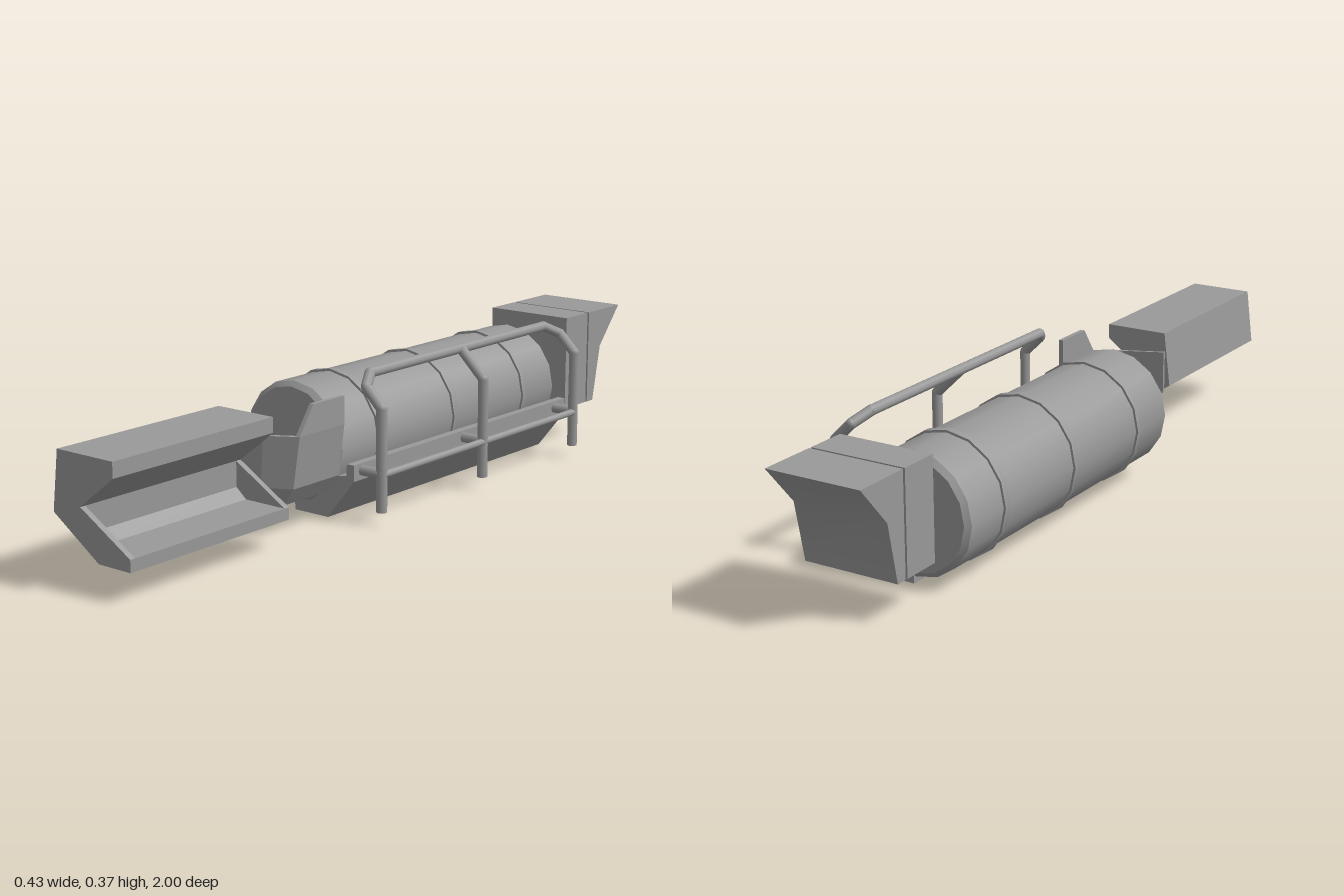
import * as THREE from 'three';
import { toCreasedNormals } from 'three/addons/utils/BufferGeometryUtils.js';
import { ConvexGeometry } from 'three/addons/geometries/ConvexGeometry.js';

const grey = new THREE.MeshStandardMaterial({ color: 0x999999 });
const flat = new THREE.MeshStandardMaterial({ color: 0x999999, flatShading: true });
const V = (p) => new THREE.Vector3(...p);

function add(parent, name, geometry, material = grey) {
  const mesh = new THREE.Mesh(geometry, material);
  mesh.name = name;
  parent.add(mesh);
  return mesh;
}

// Prism with an (x, y) profile running from z0 to z1
function prism(points, z0, z1) {
  const shape = new THREE.Shape(points.map((p) => new THREE.Vector2(...p)));
  return new THREE.ExtrudeGeometry(shape, { depth: z1 - z0, bevelEnabled: false }).translate(0, 0, z0);
}

// Sixteen-sided turned part lying along z
function turned(profile) {
  const lathe = new THREE.LatheGeometry(profile.map((p) => new THREE.Vector2(...p)), 16);
  return toCreasedNormals(lathe.rotateX(Math.PI / 2).translate(-0.055, 0.173, 0), 0.6);
}

// Jointed pipe through a list of points
function pipe(parent, name, points, r) {
  const group = new THREE.Group();
  group.name = name;
  const up = new THREE.Vector3(0, 1, 0);
  for (let i = 1; i < points.length; i++) {
    const a = V(points[i - 1]), b = V(points[i]);
    const dir = b.clone().sub(a);
    const seg = add(group, name + 'Segment', new THREE.CylinderGeometry(r, r, dir.length(), 8));
    seg.position.copy(a).add(b).multiplyScalar(0.5);
    seg.quaternion.setFromUnitVectors(up, dir.normalize());
    if (i < points.length - 1) {
      add(group, name + 'Joint', new THREE.SphereGeometry(r, 8, 8)).position.copy(b);
    }
  }
  parent.add(group);
}

export function createModel() {
  const model = new THREE.Group();
  model.name = 'tankAssembly';

  // Tank with chamfered ends and three raised bands
  add(model, 'tank', turned([
    [0, -0.682], [0.142, -0.682], [0.155, -0.67], [0.155, 0.235], [0.142, 0.247], [0, 0.247],
  ]));
  for (const z of [-0.53, -0.22, 0.09]) {
    add(model, 'tankBand', turned([
      [0.15, z - 0.009], [0.161, z - 0.009], [0.161, z + 0.009], [0.15, z + 0.009],
    ]));
  }

  // Keel under the tank with a lipped walkway
  add(model, 'walkwayBase', prism([
    [-0.05, 0], [0.057, 0], [0.14, 0.104], [0.14, 0.145], [0.118, 0.145],
    [0.116, 0.115], [0.06, 0.105], [-0.05, 0.04],
  ], -0.672, 0.24));

  // Guard rail: bent frame, middle post, lower rail and brackets
  const front = 0.208, back = -0.622, middle = -0.205;
  const half = (z, s) => [
    [0.201, 0.032, z], [0.201, 0.29, z], [0.153, 0.337, z], [0.128, 0.361, z - s * 0.045],
  ];
  pipe(model, 'railFrame', [...half(front, 1), ...half(back, -1).reverse()], 0.0135);
  pipe(model, 'middlePost', [
    [0.201, 0.032, middle], [0.201, 0.29, middle], [0.128, 0.361, middle],
  ], 0.0135);
  pipe(model, 'lowerRail', [[0.204, 0.126, front], [0.204, 0.126, back]], 0.0095);
  for (const z of [front, middle, back]) {
    pipe(model, 'railBracket', [[0.13, 0.127, z], [0.204, 0.127, z]], 0.0135);
  }

  // Rear box and the flared chute behind it
  add(model, 'rearBox', new THREE.BoxGeometry(0.253, 0.258, 0.105)).position.set(-0.027, 0.226, -0.788);
  const chute = prism([
    [-0.847, 0.097], [-0.847, 0.355], [-1, 0.355], [-0.908, 0.25], [-0.876, 0.097],
  ], 0, 0.253).rotateY(-Math.PI / 2).translate(0.1, 0, 0);
  add(model, 'rearChute', toCreasedNormals(chute, 0.6));

  // Front housing with a deep open notch and end gussets
  add(model, 'frontHousing', prism([
    [-0.068, 0.309], [0.105, 0.309], [0.105, 0.271], [0, 0.189], [0, 0.125],
    [0.03, 0.1], [0.151, 0.1], [0.151, 0.07], [0.053, 0.07], [-0.086, 0.163],
  ], 0.49, 1));
  for (const z of [0.49, 0.985]) {
    add(model, 'housingGusset', prism([
      [0, 0.189], [0, 0.125], [0.03, 0.1], [0.151, 0.1],
    ], z, z + 0.015));
  }

  // Bent shield between tank and housing, one thin slab per panel
  const shield = new THREE.Group();
  shield.name = 'shield';
  model.add(shield);
  const A = [0.125, 0.32, 0.257], B = [0.125, 0.32, 0.37], C = [0.125, 0.25, 0.42], D = [0.125, 0.25, 0.257];
  const E = [0.108, 0.12, 0.425], F = [0.108, 0.12, 0.257], G = [0.05, 0.25, 0.465], H = [0.04, 0.122, 0.465];
  const I = [0.077, 0.075, 0.425], J = [0.077, 0.075, 0.257];
  const K = [-0.074, 0.26, 0.483], L = [-0.074, 0.145, 0.483];
  const panels = [
    ['upperPanel', [A, B, C, D], [-0.012, 0, 0]],
    ['sidePanel', [D, C, E, F], [-0.012, 0, 0]],
    ['lowerPanel', [F, E, I, J], [-0.012, 0, 0]],
    ['cornerPanel', [C, G, H, E], [-0.008, 0, -0.008]],
    ['cornerFoot', [E, H, I], [-0.008, 0, -0.008]],
    ['frontPanel', [G, K, L, H], [0, 0, -0.008]],
  ];
  for (const [name, corners, offset] of panels) {
    const pts = corners.map(V);
    add(shield, name, new ConvexGeometry([...pts, ...pts.map((p) => p.clone().add(V(offset)))]), flat);
  }
  return model;
}
